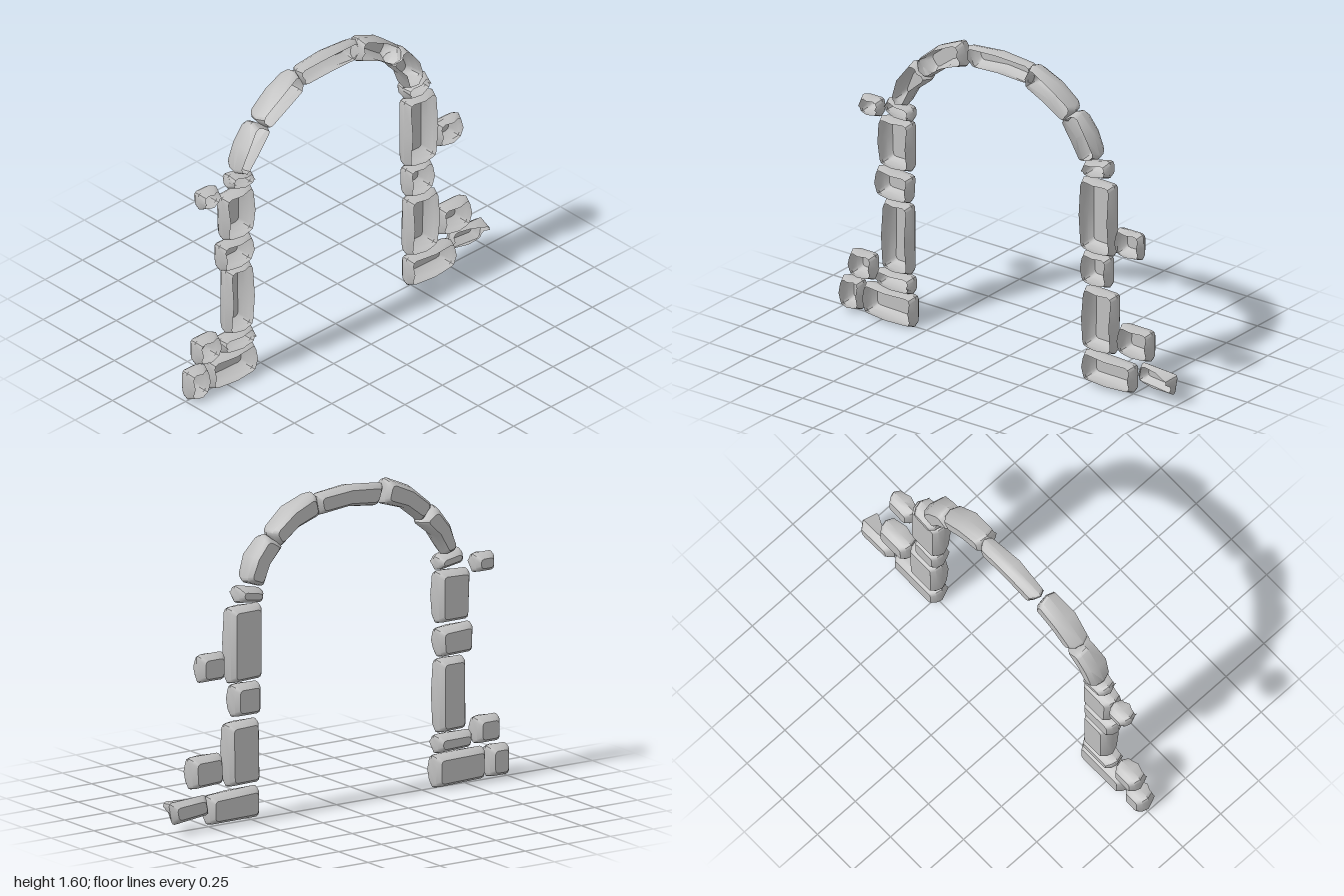
import * as THREE from 'three';
import { toCreasedNormals } from 'three/addons/utils/BufferGeometryUtils.js';

const stoneMaterial = new THREE.MeshStandardMaterial({ color: 0xbfbfbf, side: THREE.DoubleSide });
stoneMaterial.name = 'grey stone';

// Open-fronted stone shell. corners: lower left, lower right, upper right, upper left.
// bow arches the stone towards its upper edge; spike pulls the right end of the rim forward.
function stone(name, corners, { back = -0.05, rim = 0.045, bow = 0, spike = 0 } = {}) {
  const [p0, p1, p2, p3] = corners.map(([x, y]) => new THREE.Vector2(x, y));
  const hw = (p0.distanceTo(p1) + p3.distanceTo(p2)) / 4;
  const hh = (p0.distanceTo(p3) + p1.distanceTo(p2)) / 4;
  const up = p3.clone().add(p2).sub(p0).sub(p1).normalize();

  // Chamfered outline with a middle point on each edge, counter-clockwise
  const outline = (inset, c) => {
    const w = hw - inset, h = hh - inset;
    return [
      [0, -h], [w - c, -h], [w - c * 0.3, -h + c * 0.3], [w, -h + c],
      [w, 0], [w, h - c], [w - c * 0.3, h - c * 0.3], [w - c, h],
      [0, h], [-w + c, h], [-w + c * 0.3, h - c * 0.3], [-w, h - c],
      [-w, 0], [-w, -h + c], [-w + c * 0.3, -h + c * 0.3], [-w + c, -h],
    ];
  };
  const place = (x, y, z) => {
    const u = x / hw, s = (u + 1) / 2, t = (y / hh + 1) / 2;
    const low = p0.clone().lerp(p1, s), high = p3.clone().lerp(p2, s);
    const p = low.lerp(high, t).addScaledVector(up, bow * (1 - u * u));
    return [p.x, p.y, z];
  };

  // Cross-sections from the open front rim to the bevelled back
  const layers = [
    [0.012, 0.022, rim],
    [0, 0.016, back + (rim - back) * 0.6],
    [0.007, 0.018, back + 0.024],
    [0.024, 0.016, back],
  ];
  const positions = [], index = [], n = 16;
  layers.forEach(([inset, chamfer, z], k) => {
    outline(inset, chamfer).forEach(([x, y], j) => {
      let depth = z;
      if (k === 0) {
        if (j % 4 === 0) depth += 0.013;
        if (j >= 5 && j <= 7) depth += spike;
      }
      positions.push(...place(x, y, depth));
    });
  });
  for (let k = 0; k < layers.length - 1; k++) {
    for (let j = 0; j < n; j++) {
      const a = k * n + j, b = k * n + (j + 1) % n;
      index.push(a, a + n, b, b, a + n, b + n);
    }
  }
  // Back face
  const last = (layers.length - 1) * n, centre = positions.length / 3;
  positions.push(...place(0, 0, back));
  for (let j = 0; j < n; j++) index.push(centre, last + (j + 1) % n, last + j);

  const geometry = new THREE.BufferGeometry();
  geometry.setAttribute('position', new THREE.Float32BufferAttribute(positions, 3));
  geometry.setIndex(index);
  const mesh = new THREE.Mesh(toCreasedNormals(geometry, 0.6), stoneMaterial);
  mesh.name = name;
  return mesh;
}

const rect = (x0, x1, y0, y1) => [[x0, y0], [x1, y0], [x1, y1], [x0, y1]];

export function createModel() {
  const model = new THREE.Group();
  model.name = 'stoneArch';
  const section = (name, stones) => {
    const group = new THREE.Group();
    group.name = name;
    stones.forEach(([part, corners, options]) => group.add(stone(part, corners, options)));
    model.add(group);
  };

  // Pillar on the -x side
  section('rightPillar', [
    ['baseStone', [[-0.855, 0.01], [-0.56, 0], [-0.56, 0.165], [-0.86, 0.17]]],
    ['outerBaseStone', rect(-1, -0.875, 0.01, 0.168)],
    ['flatStone', [[-0.775, 0.18], [-0.57, 0.17], [-0.57, 0.265], [-0.785, 0.265]]],
    ['sideStone', rect(-0.945, -0.8, 0.187, 0.322)],
    ['tallStone', [[-0.745, 0.278], [-0.58, 0.272], [-0.582, 0.642], [-0.742, 0.642]]],
    ['middleStone', [[-0.782, 0.655], [-0.587, 0.65], [-0.577, 0.795], [-0.787, 0.807]]],
    ['upperStone', [[-0.76, 0.822], [-0.577, 0.82], [-0.577, 1.083], [-0.77, 1.075]]],
    ['capStone', [[-0.735, 1.11], [-0.575, 1.083], [-0.573, 1.158], [-0.722, 1.187]]],
    ['looseStone', rect(-0.9, -0.778, 1.05, 1.146), { back: -0.07, rim: 0.02 }],
  ]);

  // Pillar on the +x side
  section('leftPillar', [
    ['baseStone', [[0.465, 0.012], [0.765, 0.01], [0.765, 0.155], [0.465, 0.17]]],
    ['outerBaseStone', [[0.765, 0.07], [0.98, 0.045], [1, 0.158], [0.785, 0.172]],
      { back: -0.06, rim: 0, spike: 0.05 }],
    ['tallStone', [[0.462, 0.187], [0.65, 0.183], [0.657, 0.5], [0.467, 0.507]]],
    ['sideStone', [[0.675, 0.21], [0.868, 0.2], [0.868, 0.36], [0.682, 0.362]]],
    ['middleStone', rect(0.457, 0.62, 0.527, 0.69)],
    ['upperStone', [[0.45, 0.705], [0.642, 0.697], [0.642, 1.078], [0.45, 1.08]]],
    ['looseStone', rect(0.66, 0.815, 0.725, 0.865), { back: -0.04, rim: 0.04 }],
    ['capStone', [[0.46, 1.085], [0.61, 1.1], [0.605, 1.19], [0.45, 1.155]],
      { back: -0.07, rim: 0.035 }],
  ]);

  // Arch stones from -x to +x, inner edge first
  const archOptions = { back: -0.06, rim: 0.05, bow: 0.027 };
  section('arch', [
    ['rightLowerArchStone', [[-0.61, 1.16], [-0.45, 1.345], [-0.56, 1.425], [-0.685, 1.18]], archOptions],
    ['rightUpperArchStone', [[-0.475, 1.345], [-0.245, 1.468], [-0.275, 1.597], [-0.545, 1.425]], archOptions],
    ['keystone', [[-0.22, 1.465], [0.125, 1.465], [0.152, 1.575], [-0.262, 1.575]],
      { back: -0.06, rim: 0.02, bow: 0.022 }],
    ['leftUpperArchStone', [[0.115, 1.465], [0.355, 1.335], [0.415, 1.42], [0.14, 1.59]], archOptions],
    ['leftLowerArchStone', [[0.325, 1.35], [0.445, 1.157], [0.555, 1.195], [0.425, 1.42]], archOptions],
  ]);
  return model;
}
